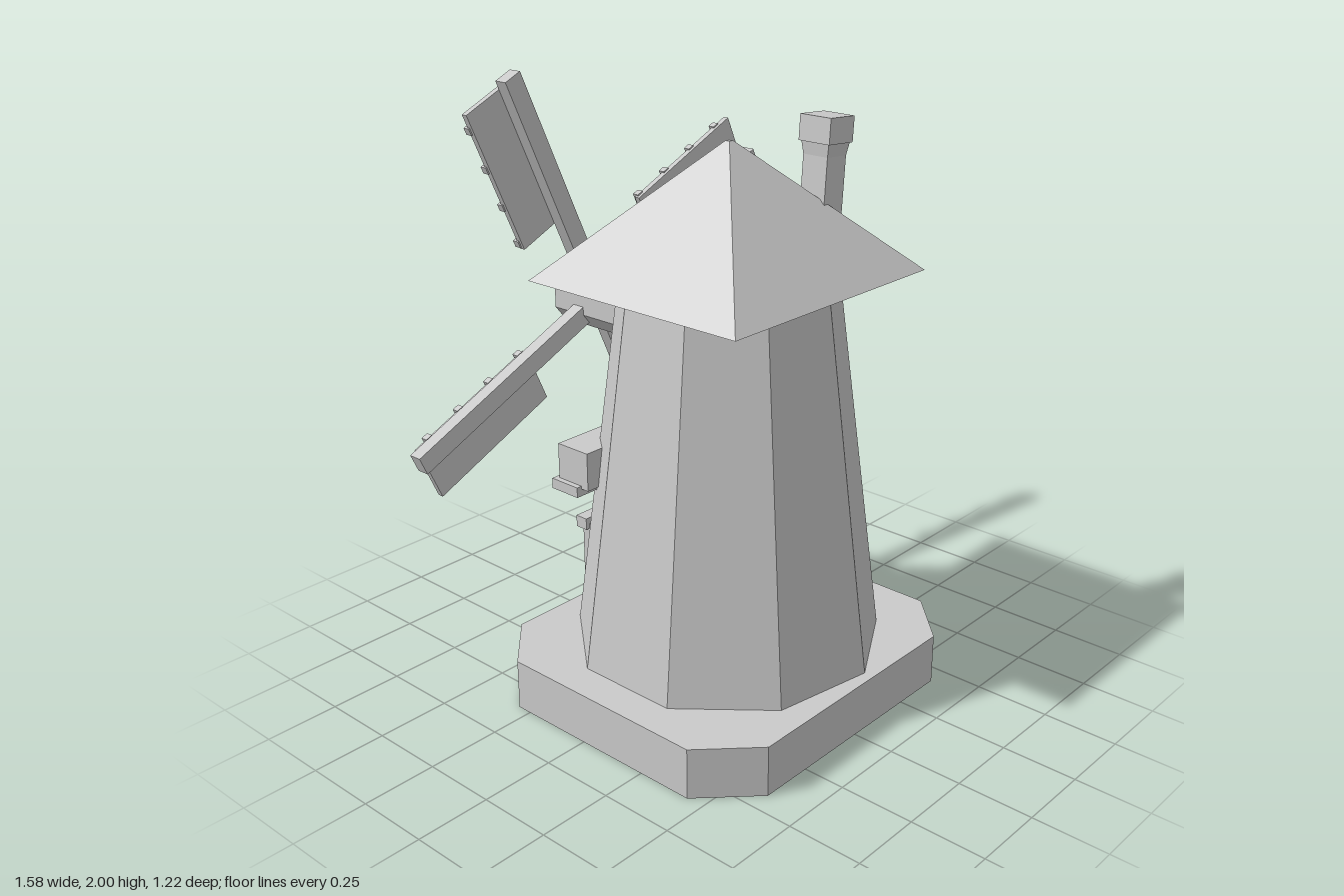
import * as THREE from 'three';

export function createModel() {
  const model = new THREE.Group();
  const stone = new THREE.MeshStandardMaterial({ color: 0xcacaca, flatShading: true, side: THREE.DoubleSide });
  stone.name = 'plain grey';

  function add(parent, name, geometry, x = 0, y = 0, z = 0) {
    const mesh = new THREE.Mesh(geometry, stone);
    mesh.name = name;
    mesh.position.set(x, y, z);
    parent.add(mesh);
    return mesh;
  }
  // box given by its extents on each axis
  function box(parent, name, x0, x1, y0, y1, z0, z1) {
    return add(parent, name, new THREE.BoxGeometry(x1 - x0, y1 - y0, z1 - z0),
      (x0 + x1) / 2, (y0 + y1) / 2, (z0 + z1) / 2);
  }
  function group(name) {
    const g = new THREE.Group();
    g.name = name;
    model.add(g);
    return g;
  }

  // base slab with cut corners, hollow and open underneath
  const outline = [[-0.43, 0.61], [0.425, 0.61], [0.597, 0.44], [0.597, -0.3],
    [0.425, -0.47], [-0.43, -0.47], [-0.6, -0.3], [-0.6, 0.44]];
  const top = new THREE.ShapeGeometry(
    new THREE.Shape(outline.map(([x, z]) => new THREE.Vector2(x, -z))));
  top.rotateX(-Math.PI / 2);
  add(model, 'baseTop', top, 0, 0.17, 0);
  const wall = [];
  outline.forEach(([x0, z0], i) => {
    const [x1, z1] = outline[(i + 1) % outline.length];
    wall.push(x0, 0, z0, x1, 0, z1, x1, 0.17, z1, x0, 0, z0, x1, 0.17, z1, x0, 0.17, z0);
  });
  const walls = new THREE.BufferGeometry();
  walls.setAttribute('position', new THREE.Float32BufferAttribute(wall, 3));
  walls.computeVertexNormals();
  add(model, 'baseWalls', walls);

  // nine-sided tapered tower
  add(model, 'tower', new THREE.CylinderGeometry(0.345, 0.51, 1.24, 9, 1, false, Math.PI / 2), 0, 0.79, 0.073);

  // pyramid roof
  const roof = new THREE.CylinderGeometry(0.012, 0.446 * Math.SQRT2, 0.415, 4, 1);
  roof.rotateY(Math.PI / 4);
  roof.scale(1, 1, 0.927);
  add(model, 'roof', roof, 0, 1.6125, 0.072);

  // leaning chimney
  const chimney = group('chimney');
  chimney.position.set(0.238, 1.5, 0.23);
  chimney.rotation.z = -0.075;
  box(chimney, 'chimneyShaft', -0.046, 0.046, 0, 0.3, -0.046, 0.046);
  const flare = new THREE.CylinderGeometry(0.052 * Math.SQRT2, 0.046 * Math.SQRT2, 0.04, 4);
  flare.rotateY(Math.PI / 4);
  add(chimney, 'chimneyFlare', flare, 0, 0.28, 0);
  box(chimney, 'chimneyCap', -0.058, 0.058, 0.3, 0.38, -0.058, 0.058);

  // axle hub at the back
  const hub = new THREE.CylinderGeometry(0.097, 0.097, 0.36, 9, 1, false, Math.PI / 2);
  hub.rotateX(Math.PI / 2);
  add(model, 'hub', hub, 0, 1.21, -0.433);

  // four sails, each an arm with a slatted panel
  for (let i = 0; i < 4; i++) {
    const sail = group('sail' + (i + 1));
    sail.position.set(0, 1.21, 0);
    sail.rotation.z = 0.422 + i * Math.PI / 2;
    box(sail, 'sailArm', 0.02, 0.853, -0.0325, 0.0325, -0.525, -0.48);
    box(sail, 'sailPanel', 0.325, 0.823, -0.02, 0.176, -0.545, -0.525);
    for (const u of [0.345, 0.485, 0.625, 0.765])
      box(sail, 'sailSlat', u - 0.012, u + 0.012, -0.026, 0.181, -0.558, -0.535);
  }

  // door with frame, knob and step
  const door = group('door');
  box(door, 'doorPanel', -0.11, 0.11, 0.17, 0.43, -0.43, -0.34);
  for (const s of [-1, 1])
    box(door, 'doorPost', s * 0.125 - 0.02, s * 0.125 + 0.02, 0.17, 0.455, -0.455, -0.36);
  box(door, 'doorHead', -0.145, 0.145, 0.42, 0.455, -0.455, -0.36);
  box(door, 'doorLintel', -0.16, 0.16, 0.437, 0.478, -0.472, -0.425);
  box(door, 'doorKnob', -0.087, -0.063, 0.285, 0.315, -0.45, -0.43);
  box(door, 'doorStep', -0.165, 0.155, 0, 0.08, -0.524, -0.41);

  // window with bars and sill
  const win = group('window');
  box(win, 'windowPane', -0.32, -0.12, 0.7, 0.82, -0.345, -0.23);
  for (const x of [-0.32, -0.253, -0.187, -0.12])
    box(win, 'windowBar', x - 0.011, x + 0.011, 0.7, 0.83, -0.362, -0.23);
  box(win, 'windowHead', -0.331, -0.109, 0.808, 0.83, -0.362, -0.23);
  box(win, 'windowSill', -0.35, -0.095, 0.675, 0.71, -0.376, -0.26);

  // lidded pot at the base corner
  const pot = group('pot');
  const profile = [[0, 0], [0.055, 0], [0.07, 0.025], [0.088, 0.105], [0.07, 0.165], [0.042, 0.185], [0.042, 0.205]];
  add(pot, 'potBody', new THREE.LatheGeometry(profile.map(([r, y]) => new THREE.Vector2(r, y)), 8), 0.488, 0, -0.418);
  add(pot, 'potLid', new THREE.CylinderGeometry(0.083, 0.083, 0.008, 8, 1, false, Math.PI / 8), 0.467, 0.206, -0.395);

  return model;
}
